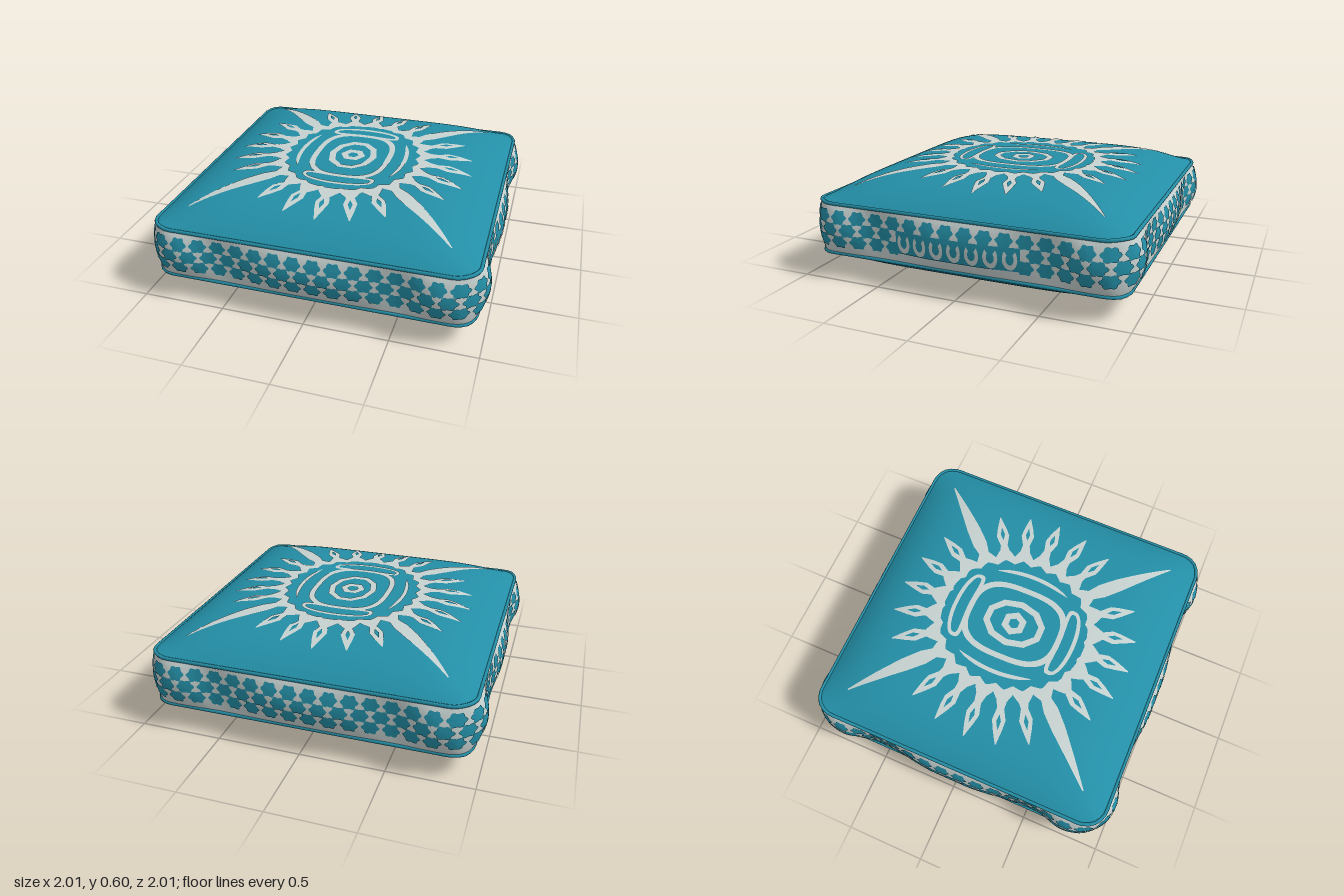
import * as THREE from 'three';
import { mergeGeometries } from 'three/addons/utils/BufferGeometryUtils.js';

const HALF = 0.95, RADIUS = 0.13, STRAIGHT = HALF - RADIUS;
const SIDE = STRAIGHT + RADIUS * Math.PI / 4; // half the seam length of one side
const MID = 0.3, LOW = 0.148, HIGH = 0.452;

// Surface patch from a rule fn(u, v) -> [x, y, z]
function patch(nu, nv, fn) {
  const pos = [], index = [];
  for (let j = 0; j <= nv; j++)
    for (let i = 0; i <= nu; i++) pos.push(...fn(i / nu, j / nv));
  for (let j = 0; j < nv; j++)
    for (let i = 0; i < nu; i++) {
      const a = j * (nu + 1) + i, b = a + 1, c = a + nu + 1, d = c + 1;
      index.push(a, b, c, b, d, c);
    }
  const g = new THREE.BufferGeometry();
  g.setAttribute('position', new THREE.Float32BufferAttribute(pos, 3));
  g.setIndex(index);
  g.computeVertexNormals();
  return g;
}

// Point on the rounded-square seam: side 0..3, distance w from the side's middle, pushed out by d
function seam(side, w, d = 0) {
  const over = Math.max(0, Math.abs(w) - STRAIGHT) / RADIUS * Math.sign(w);
  const flat = THREE.MathUtils.clamp(w, -STRAIGHT, STRAIGHT);
  const a = flat + Math.sin(over) * (RADIUS + d);
  const b = STRAIGHT + Math.cos(over) * (RADIUS + d);
  return [[a, b], [b, -a], [-a, -b], [-b, a]][side];
}

// Puffed height of the cover
const puff = t => 1 - Math.min(1, Math.abs(t) / HALF) ** 5.5;
const height = (x, z) => HIGH + 0.145 * puff(x) * puff(z);

// Scalloped bulge of the side wall
function bulge(w) {
  const t = Math.abs(w), s = THREE.MathUtils.smoothstep;
  if (t < 0.53) return 0.045 * (1 - s(t, 0.1, 0.53));
  return t < 0.75 ? 0.05 * s(t, 0.53, 0.75) : 0.05 - 0.03 * s(t, 0.75, SIDE);
}
function wall(side, w, y, lift = 0) {
  if (Math.abs(w) > SIDE) { // carry on round the corner
    side = (side + (w > 0 ? 1 : 3)) % 4;
    w -= Math.sign(w) * 2 * SIDE;
  }
  const k = THREE.MathUtils.clamp((y - LOW) / (HIGH - LOW), 0, 1);
  const [x, z] = seam(side, w, bulge(w) * Math.sin(Math.PI * k) ** 0.8 + lift);
  return [x, y, z];
}

const onTop = (x, z, lift) => [x, height(x, z) + lift, z];

// Closed or partial ring lying on the cover; n = squareness, bend curves it
function ring({ rx, rz, width, n = 2, cz = 0, bend = 0, from = 0, to = 360, sides = 64, taper = false }) {
  return patch(sides, 2, (u, v) => {
    const a = THREE.MathUtils.degToRad(from + (to - from) * u);
    const c = Math.cos(a), s = Math.sin(a);
    const k = (Math.abs(c) ** n + Math.abs(s) ** n) ** (-1 / n);
    const off = (v - 1) * width + (taper ? (0.5 - v) * width * (2 * u - 1) ** 4 : 0);
    const x = (rx + off) * c * k;
    return onTop(x, cz + (rz + off) * s * k + bend * x * x, 0.004);
  });
}

// Pointed strip running outward along an angle; stops are [radius, halfWidth]
function ray(angle, stops, lift) {
  const c = Math.cos(angle), s = Math.sin(angle), last = stops.length - 1;
  return patch(2, last * 3, (u, v) => {
    const i = Math.min(last - 1, Math.floor(v * last + 1e-6)), f = v * last - i;
    const r = THREE.MathUtils.lerp(stops[i][0], stops[i + 1][0], f);
    const t = THREE.MathUtils.lerp(stops[i][1], stops[i + 1][1], f) * (2 * u - 1);
    return onTop(r * c - t * s, r * s + t * c, lift);
  });
}

// Sun motif: white pieces and the teal eyes set into its petals
function sunMotif() {
  const white = [
    ring({ rx: 0.08, rz: 0.08, width: 0.045, sides: 6 }),
    ring({ rx: 0.155, rz: 0.2, width: 0.042, sides: 10 }),
    ring({ rx: 0.25, rz: 0.315, width: 0.035, n: 3 }),
  ];
  for (const s of [-1, 1]) {
    white.push(ring({ rx: 0.225, rz: 0.058, width: 0.025, n: 3, cz: s * 0.348, bend: -s * 0.6 }));
    const mid = s > 0 ? 0 : 180;
    white.push(ring({ rx: 0.35, rz: 0.5, width: 0.026, from: mid - 30, to: mid + 30, taper: true, sides: 24 }));
  }
  // Zigzag ring that the petals grow from
  white.push(patch(192, 2, (u, v) => {
    const a = u * Math.PI * 2, f = (u * 24) % 1;
    const peak = Math.abs(1 - 2 * f);
    const r = 0.4 + 0.05 * Math.sin(a) ** 2 + 0.03 * peak + v * (0.055 + 0.055 * peak);
    return onTop(r * Math.cos(a), r * Math.sin(a), 0.004);
  }));
  const eyes = [];
  for (let i = 0; i < 24; i++) {
    const a = i * Math.PI / 12;
    if (i % 6 === 3) {
      white.push(ray(a, [[0.46, 0.02], [0.6, 0.045], [0.72, 0.042], [0.9, 0.025], [1.1, 0.004]], 0.004));
    } else {
      white.push(ray(a, [[0.46, 0.04], [0.55, 0.022], [0.62, 0.041], [0.68, 0.028], [0.765, 0.003]], 0.004));
      eyes.push(ray(a, [[0.59, 0.001], [0.63, 0.014], [0.68, 0.001]], 0.008));
    }
  }
  return { white: mergeGeometries(white), eyes: mergeGeometries(eyes) };
}

// Six-lobed blob on the side wall
function blob(side, w, y) {
  return patch(24, 2, (u, v) => {
    const a = u * Math.PI * 2, r = (0.046 + 0.006 * Math.cos(6 * a)) * (1 - v);
    return wall(side, w + r * Math.cos(a), y + r * 0.88 * Math.sin(a), 0.005);
  });
}

// Horseshoe on the side wall
function horseshoe(side, w, y) {
  return patch(16, 1, (u, v) => {
    const a = Math.PI * (-1.25 + 1.5 * u), r = 0.042 - 0.02 * v;
    return wall(side, w + r * Math.cos(a), y + r * 1.5 * Math.sin(a), 0.009);
  });
}

export function createModel() {
  const teal = new THREE.MeshStandardMaterial({ color: 0x238ea6, side: THREE.DoubleSide });
  teal.name = 'teal fabric';
  const white = new THREE.MeshStandardMaterial({ color: 0xc6d2d0, side: THREE.DoubleSide });
  white.name = 'off-white print';

  const model = new THREE.Group();
  model.name = 'floorCushion';
  const add = (parent, name, geometry, material) => {
    const mesh = new THREE.Mesh(geometry, material);
    mesh.name = name;
    parent.add(mesh);
  };
  const around = u => { // 0..1 round the whole seam
    const side = Math.min(3, Math.floor(u * 4));
    return [side, (u * 4 - side - 0.5) * 2 * SIDE];
  };

  // Covers with piping and motif, top and bottom
  const cover = patch(192, 28, (u, v) => {
    const [x, z] = seam(...around(u));
    return onTop(x * (1 - v), z * (1 - v), 0);
  });
  const path = Array.from({ length: 96 }, (_, i) => {
    const [x, z] = seam(...around(i / 96));
    return new THREE.Vector3(x, height(x, z), z);
  });
  const piping = new THREE.TubeGeometry(new THREE.CatmullRomCurve3(path, true), 192, 0.011, 8, true);
  const motif = sunMotif();
  for (const name of ['topCover', 'bottomCover']) {
    const group = new THREE.Group();
    group.name = name;
    add(group, 'cover', cover, teal);
    add(group, 'piping', piping, teal);
    add(group, 'sunMotif', motif.white, white);
    add(group, 'petalEyes', motif.eyes, teal);
    if (name === 'bottomCover') {
      group.rotation.x = Math.PI;
      group.position.y = MID * 2;
    }
    model.add(group);
  }

  // Side wall with its printed lattice
  add(model, 'sideWall', patch(256, 14, (u, v) =>
    wall(...around(u), LOW + (HIGH - LOW) * v)), white);
  const blobs = [], step = 2 * SIDE / 16;
  for (let side = 0; side < 4; side++)
    [0.385, 0.312, 0.24].forEach((y, row) => {
      for (let i = 0; i < 16; i++) {
        const w = (i - 7.5 + (row % 2) / 2) * step;
        if (side === 1 && row > 0 && Math.abs(w) < 0.38) continue;
        blobs.push(blob(side, w, y));
      }
    });
  add(model, 'sideLattice', mergeGeometries(blobs), teal);

  // Horseshoe panel in the middle of the left side
  add(model, 'horseshoePanel', patch(24, 6, (u, v) =>
    wall(1, (u - 0.5) * 0.76, 0.215 + 0.135 * v, 0.005)), teal);
  const shoes = [];
  for (let i = -3; i <= 3; i++) shoes.push(horseshoe(1, i * 0.108, 0.285));
  add(model, 'horseshoes', mergeGeometries(shoes), white);
  return model;
}
